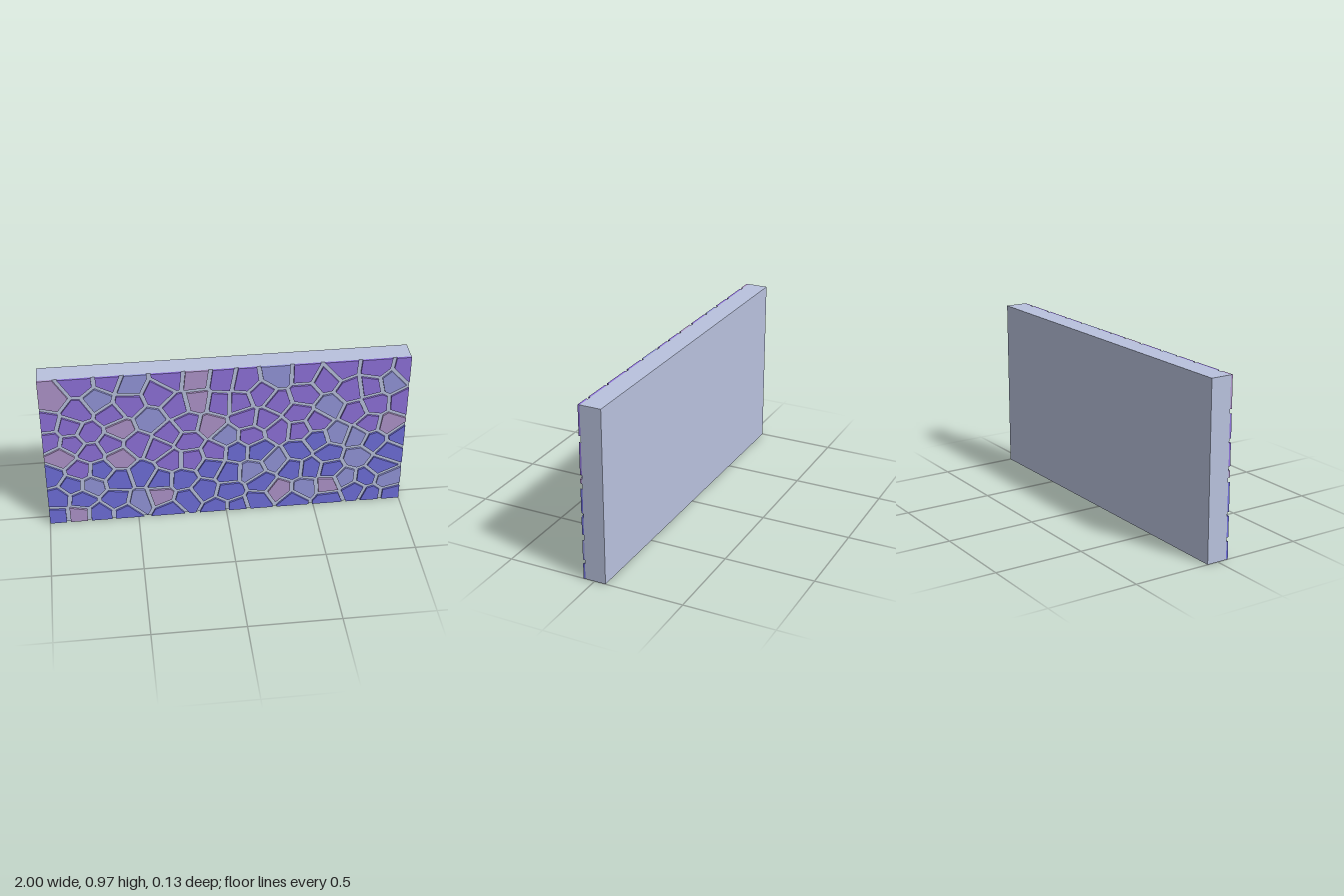
import * as THREE from 'three';

const W = 2, H = 0.97, BACK = -0.064, FACE = 0.053, FRONT = 0.064;
const JOINT = 0.011;   // half the width of the mortar joint
const SPACING = 0.105; // least distance between stone centres

const COLORS = { purple: 0x8f72dc, blue: 0x7070dc, paleBlue: 0x9497dc, mauve: 0xb096cc };

// Centres of the accent stones
const ACCENTS = {
  mauve: [
    [-0.93, 0.85], [-0.17, 0.92], [-0.16, 0.77], [-0.58, 0.62], [-0.09, 0.61], [0.91, 0.53],
    [-0.91, 0.46], [-0.59, 0.43], [-0.37, 0.14], [0.3, 0.12], [0.58, 0.13], [-0.84, 0.04],
  ],
  paleBlue: [
    [-0.69, 0.82], [-0.52, 0.91], [0.28, 0.91], [0.9, 0.82], [-0.41, 0.67], [0.57, 0.68], [0, 0.52],
    [0.62, 0.49], [0.73, 0.46], [-0.75, 0.25], [0.14, 0.27], [0.28, 0.33], [0.74, 0.32],
    [-0.49, 0.11], [0.45, 0.12], [0.68, 0.17], [0.92, 0.14],
  ],
};

function seededRandom(seed) {
  return () => (seed = (seed * 16807) % 2147483647) / 2147483647;
}

// Accent stones first, then evenly scattered ones: purple above, blue below
function scatterStones() {
  const stones = Object.entries(ACCENTS).flatMap(([color, points]) =>
    points.map(([x, y]) => ({ color, center: new THREE.Vector2(x, y) })));
  const random = seededRandom(71);
  for (let i = 0; i < 5000; i++) {
    const center = new THREE.Vector2((random() - 0.5) * (W - 0.04), 0.02 + random() * (H - 0.04));
    if (stones.some((stone) => stone.center.distanceTo(center) < SPACING)) continue;
    const blueTop = center.x > 0.05 ? 0.48 : 0.35;
    stones.push({ color: center.y < blueTop ? 'blue' : 'purple', center });
  }
  return stones;
}

// Keep the part of a convex polygon where n . p <= d
function clip(polygon, n, d) {
  const kept = [];
  polygon.forEach((a, i) => {
    const b = polygon[(i + 1) % polygon.length];
    const da = a.dot(n) - d, db = b.dot(n) - d;
    if (da <= 0) kept.push(a);
    if (da * db < 0) kept.push(a.clone().lerp(b, da / (da - db)));
  });
  return kept;
}

// Area nearest to one stone's centre, pulled back by the joint and cut at the wall's edge
function stoneOutline(stone, stones) {
  let outline = [[-W / 2, 0], [W / 2, 0], [W / 2, H], [-W / 2, H]].map(([x, y]) => new THREE.Vector2(x, y));
  for (const other of stones) {
    if (other === stone) continue;
    const n = other.center.clone().sub(stone.center).normalize();
    const middle = other.center.clone().lerp(stone.center, 0.5);
    outline = clip(outline, n, middle.dot(n) - JOINT);
  }
  return outline;
}

export function createModel() {
  const model = new THREE.Group();
  model.name = 'stoneWall';

  // Plain slab behind the stones
  const slab = new THREE.Mesh(
    new THREE.BoxGeometry(W, H, FACE - BACK),
    new THREE.MeshStandardMaterial({ color: 0xb9c2de }),
  );
  slab.name = 'wallSlab';
  slab.position.set(0, H / 2, (FACE + BACK) / 2);
  model.add(slab);

  // Flat stones set on the front face
  const materials = {};
  for (const name in COLORS) materials[name] = new THREE.MeshStandardMaterial({ color: COLORS[name] });
  const facing = new THREE.Group();
  facing.name = 'facingStones';
  facing.position.z = FACE;
  const stones = scatterStones();
  for (const stone of stones) {
    const shape = new THREE.Shape(stoneOutline(stone, stones));
    const geometry = new THREE.ExtrudeGeometry(shape, { depth: FRONT - FACE, bevelEnabled: false });
    const mesh = new THREE.Mesh(geometry, materials[stone.color]);
    mesh.name = `${stone.color}Stone`;
    facing.add(mesh);
  }
  model.add(facing);
  return model;
}
